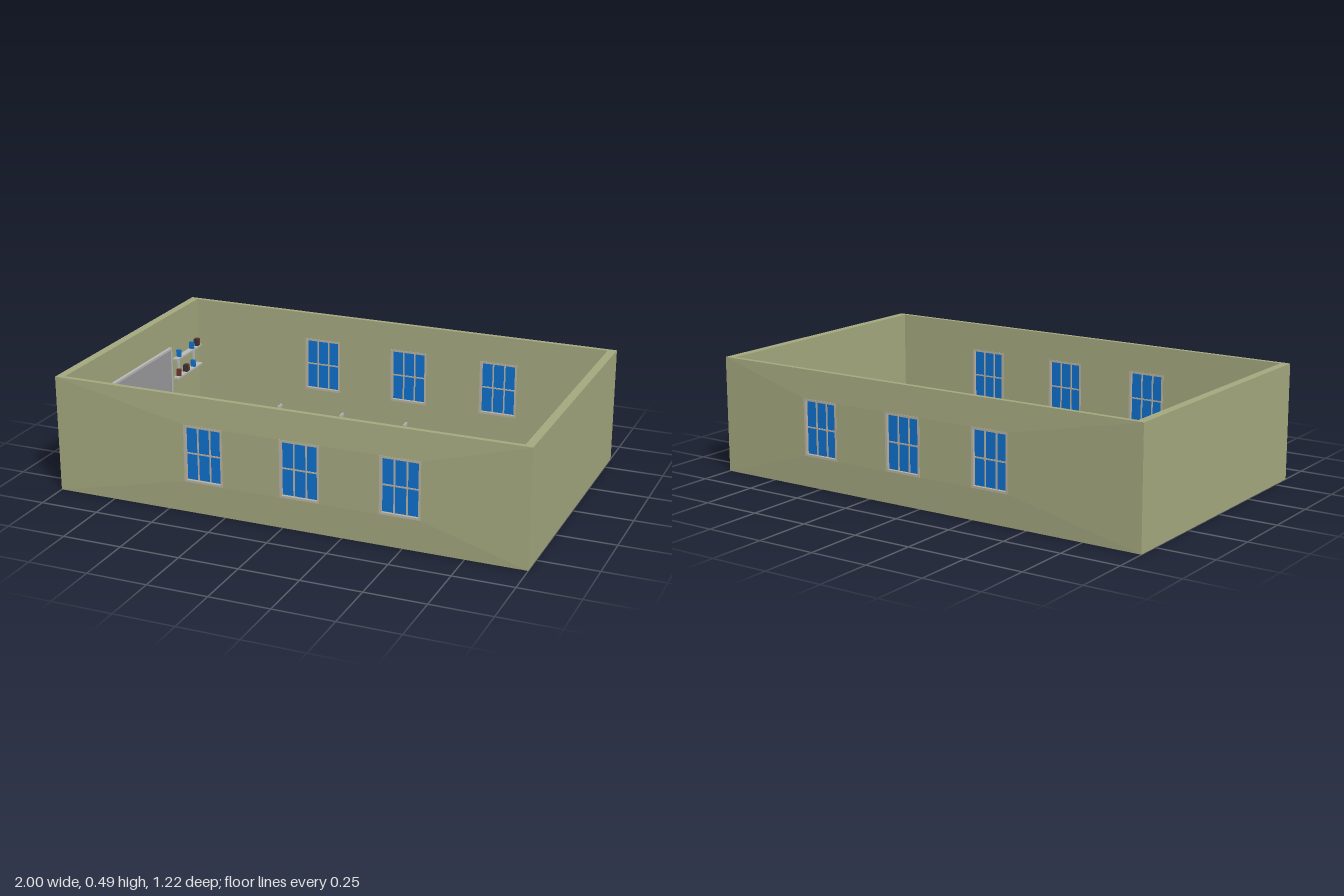
import * as THREE from 'three';

const mat = (name, color) => {
  const m = new THREE.MeshStandardMaterial({ color });
  m.name = name;
  return m;
};

export function createModel() {
  const wallPaint = mat('olive wall', 0xa4a97f);
  const floorRed = mat('red floor', 0x6e342c);
  const glass = mat('blue glass', 0x0f70cc);
  const grey = mat('light grey', 0xbababa);
  const trim = mat('window trim', 0xb8b2a2);
  const boardGrey = mat('board grey', 0x9c9ca0);
  const dark = mat('dark', 0x333336);

  const room = new THREE.Group();
  room.name = 'classroom';

  const group = (name, parent, x = 0, y = 0, z = 0) => {
    const g = new THREE.Group();
    g.name = name;
    g.position.set(x, y, z);
    parent.add(g);
    return g;
  };
  const box = (name, parent, m, w, h, d, x, y, z) => {
    const mesh = new THREE.Mesh(new THREE.BoxGeometry(w, h, d), m);
    mesh.name = name;
    mesh.position.set(x, y, z);
    parent.add(mesh);
    return mesh;
  };

  // Floor slab with its underside in the wall colour
  box('base', room, wallPaint, 2, 0.008, 1.2, 0, 0.004, 0);
  box('floor', room, floorRed, 1.94, 0.008, 1.17, 0, 0.011, 0);

  // Solid end walls
  const H = 0.492;
  for (const s of [-1, 1]) box('endWall', room, wallPaint, 0.035, H, 1.162, s * 0.9825, H / 2, 0);

  // Long walls with window openings, bulging slightly outwards around them
  const winX = [-0.338, 0.075, 0.49], winW = 0.168, y0 = 0.132, y1 = 0.373, yMid = (y0 + y1) / 2;

  const addWindow = (parent, x) => {
    const w = group('window', parent, x, yMid, 0.0135);
    const h = y1 - y0, t = 0.009;
    box('pane', w, glass, winW - t, h - t, 0.004, 0, 0, 0);
    for (const s of [-1, 1]) {
      box('frameSide', w, trim, t, h, 0.03, s * (winW - t) / 2, 0, 0);
      box('frameRail', w, trim, winW - t * 2, t, 0.03, 0, s * (h - t) / 2, 0);
      box('verticalBar', w, trim, 0.006, h - t * 2, 0.01, s * 0.026, 0, 0);
    }
    box('crossBar', w, trim, winW - t * 2, 0.006, 0.0096, 0, 0, 0);
  };

  for (const s of [1, -1]) {
    const side = group(s > 0 ? 'frontWall' : 'backWall', room, 0, 0, s * 0.58);
    if (s < 0) side.rotation.y = Math.PI;
    const shape = new THREE.Shape([[-1, 0], [1, 0], [1, H], [-1, H]].map(p => new THREE.Vector2(...p)));
    for (const wx of winX) {
      const x = wx * s, a = x - winW / 2, b = x + winW / 2;
      shape.holes.push(new THREE.Path([[a, y0], [a, y1], [b, y1], [b, y0]].map(p => new THREE.Vector2(...p))));
      addWindow(side, x);
    }
    const geo = new THREE.ExtrudeGeometry(shape, { depth: 0.02, bevelEnabled: false });
    const p = geo.attributes.position;
    for (let i = 0; i < p.count; i++)
      if (Math.abs(p.getX(i)) < 0.9 && p.getZ(i) > 0.01) p.setZ(i, 0.027);
    geo.computeVertexNormals();
    const wall = new THREE.Mesh(geo, wallPaint);
    wall.name = 'wall';
    side.add(wall);
  }

  // Chair with its back towards +x
  const addChair = (name, x, z, turn, size) => {
    const c = group(name, room, x, 0.015, z);
    c.rotation.y = turn;
    c.scale.set(size, 1, size);
    box('seat', c, grey, 0.052, 0.008, 0.056, -0.003, 0.06, 0);
    for (const s of [-1, 1]) {
      for (const lx of [-0.024, 0.018]) box('leg', c, grey, 0.006, 0.058, 0.006, lx, 0.029, s * 0.023);
      const post = box('backPost', c, grey, 0.006, 0.072, 0.006, 0.024, 0.098, s * 0.018);
      post.rotation.set(s * -0.15, 0, -0.1);
      box('stretcher', c, grey, 0.042, 0.004, 0.004, -0.003, 0.024, s * 0.023);
    }
    box('backSplat', c, grey, 0.004, 0.062, 0.012, 0.024, 0.095, 0).rotation.z = -0.1;
    box('topRail', c, grey, 0.007, 0.012, 0.036, 0.027, 0.13, 0);
  };
  for (const x of [-0.445, -0.15, 0.145])
    for (const z of [-0.288, -0.005, 0.285]) addChair('studentChair', x, z, 0, 1);
  addChair('teacherChair', -0.817, -0.003, Math.PI, 1.2);

  // Teacher's desk with a book on top
  const desk = group('desk', room, -0.72, 0.015, -0.01);
  box('top', desk, grey, 0.12, 0.01, 0.3, 0, 0.12, 0);
  box('modestyPanel', desk, grey, 0.006, 0.09, 0.28, 0.048, 0.07, 0);
  for (const s of [-1, 1]) box('pedestal', desk, grey, 0.104, 0.115, 0.05, 0, 0.0575, s * 0.118);
  box('bookCover', desk, glass, 0.034, 0.004, 0.052, 0.016, 0.127, -0.112);
  box('bookBody', desk, floorRed, 0.03, 0.012, 0.044, 0.016, 0.134, -0.112);
  box('bookSpine', desk, dark, 0.008, 0.004, 0.03, 0.016, 0.141, -0.112);

  // Writing board on the end wall
  const board = group('board', room, -0.959, 0.21, 0.01);
  box('panel', board, boardGrey, 0.01, 0.25, 0.6, 0, 0, 0);
  for (const s of [-1, 1]) {
    box('frameRail', board, grey, 0.014, 0.01, 0.62, 0, s * 0.13, 0);
    box('frameSide', board, grey, 0.014, 0.25, 0.01, 0, 0, s * 0.305);
  }

  // Wall shelves with books
  const shelves = group('shelves', room, -0.952, 0, -0.445);
  for (const y of [0.19, 0.28]) box('shelf', shelves, grey, 0.026, 0.008, 0.235, 0, y, 0);
  for (const z of [-0.075, 0.075]) box('upright', shelves, grey, 0.008, 0.12, 0.01, -0.008, 0.235, z);
  const books = [[-0.1, 0.28, floorRed], [-0.085, 0.28, dark], [-0.04, 0.28, glass], [0.085, 0.28, glass],
    [-0.05, 0.19, glass], [0.01, 0.19, floorRed], [0.025, 0.19, dark], [0.09, 0.19, floorRed]];
  for (const [z, y, m] of books) box('book', shelves, m, 0.02, 0.032, 0.012, 0.001, y + 0.02, z);

  // Round wall clock
  const clock = group('clock', room, -0.957, 0.3, 0.42);
  const disc = (name, m, r, t, x) => {
    const d = new THREE.Mesh(new THREE.CylinderGeometry(r, r, t, 24), m);
    d.name = name;
    d.rotation.z = Math.PI / 2;
    d.position.x = x;
    clock.add(d);
  };
  disc('rim', glass, 0.046, 0.014, 0);
  disc('face', grey, 0.038, 0.003, 0.007);
  box('hourHand', clock, dark, 0.002, 0.022, 0.004, 0.0095, 0.01, 0);
  box('minuteHand', clock, dark, 0.002, 0.004, 0.03, 0.0095, 0, -0.014);

  return room;
}
